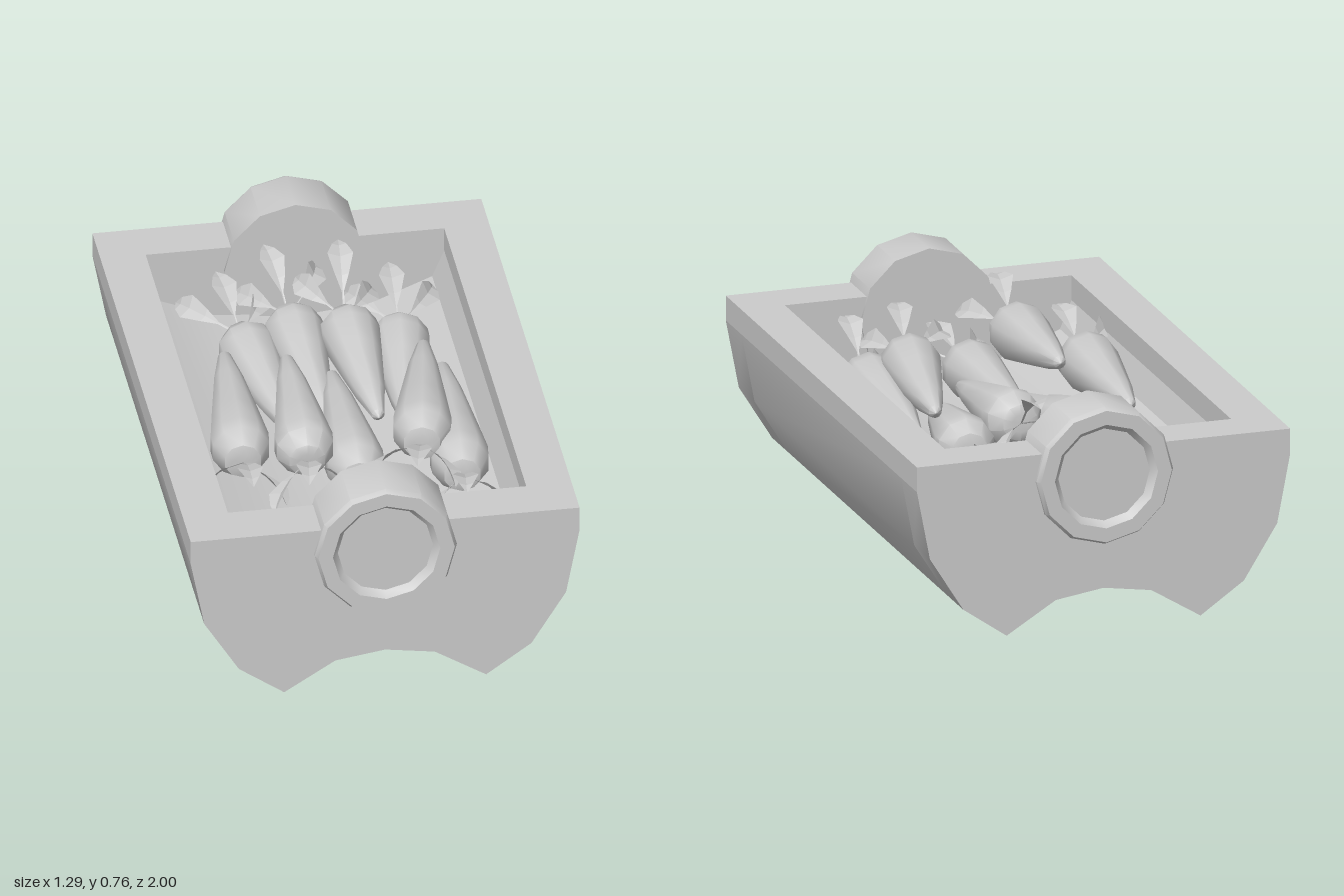
import * as THREE from 'three';
import { toCreasedNormals } from 'three/addons/utils/BufferGeometryUtils.js';

const grey = new THREE.MeshStandardMaterial({ color: 0xcccccc });
const thin = new THREE.MeshStandardMaterial({ color: 0xcccccc, side: THREE.DoubleSide, flatShading: true });

function part(parent, name, geometry, material = grey) {
  const mesh = new THREE.Mesh(geometry, material);
  mesh.name = name;
  parent.add(mesh);
  return mesh;
}

const polygon = (points) => new THREE.Shape(points.map(([x, y]) => new THREE.Vector2(x, y)));
const mirrored = (points) => points.map(([x, y]) => [-x, y]).reverse();

// Extrudes a cross-section between two z positions
function extrude(shape, z0, z1) {
  const g = new THREE.ExtrudeGeometry(shape, { depth: z1 - z0, bevelEnabled: false });
  g.translate(0, 0, z0);
  return toCreasedNormals(g, 0.6);
}

const L = 0.97;    // half length of the trough
const IN = 0.81;   // half length of the cavity

function buildTrough(root) {
  const trough = new THREE.Group();
  trough.name = 'trough';
  root.add(trough);

  // Base with an arched underside
  const under = [[-0.485, 0.105], [-0.335, 0], [-0.165, 0.105]];
  const over = [[0.485, 0.105], [0.28, 0.225]];
  part(trough, 'base', extrude(polygon([
    ...under, [0, 0.13], ...mirrored(under), over[1], [0, 0.285], ...mirrored(over).slice(0, 1),
  ]), -L, L));

  // Rounded tub sides and floor
  const side = [[0.485, 0.105], [0.6, 0.29], [0.645, 0.525]];
  const bottom = [[-0.485, 0.105], [-0.28, 0.225], [0, 0.285], [0.28, 0.225]];
  const cavity = [[0.495, 0.525], [0.455, 0.43], [0.27, 0.355]];
  part(trough, 'tub', extrude(polygon([
    ...bottom, ...side, ...cavity, [0, 0.33], ...mirrored(cavity), ...mirrored(side).slice(0, 2),
  ]), -IN, IN));

  // Solid end walls
  const end = polygon([...bottom, ...side, ...mirrored(side).slice(0, 2)]);
  part(trough, 'backWall', extrude(end, -L, -IN));
  part(trough, 'frontWall', extrude(end, IN, L));

  // Flat rim around the opening
  const rect = (w, d) => [[-w, -d], [w, -d], [w, d], [-w, d]];
  const rim = polygon(rect(0.645, L));
  rim.holes.push(polygon(rect(0.495, IN)));
  const rimGeometry = new THREE.ExtrudeGeometry(rim, { depth: 0.085, bevelEnabled: false });
  rimGeometry.rotateX(-Math.PI / 2).translate(0, 0.525, 0);
  part(trough, 'rim', rimGeometry);
}

// Twelve-sided round boss with a recessed face, one at each end
function buildBosses(root) {
  const outer = [[0, 0.8], [0.236, 0.8], [0.236, 0.982], [0.226, 1], [0.178, 1]];
  const recess = [[0.178, 1], [0.158, 0.975], [0, 0.975]];
  const lathe = (pts) => {
    const g = new THREE.LatheGeometry(pts.map(([x, y]) => new THREE.Vector2(x, y)), 12);
    return toCreasedNormals(g.rotateX(Math.PI / 2), 0.6);
  };
  for (const [name, turn] of [['frontBoss', 0], ['backBoss', Math.PI]]) {
    const boss = new THREE.Group();
    boss.name = name;
    boss.position.y = 0.521;
    boss.rotation.y = turn;
    part(boss, 'ring', lathe(outer));
    part(boss, 'recessedFace', lathe(recess));
    root.add(boss);
  }
}

// Curved stem widening into a pointed, slightly folded blade; grows along y, lifts along z
function leafGeometry(length, lift, width) {
  const rows = [[0, 0.07], [0.25, 0.09], [0.42, 0.55], [0.66, 1], [0.85, 0.55], [1, 0]];
  const position = [], index = [];
  rows.forEach(([t, w], i) => {
    const y = length * t, z = lift * Math.sin(t * 1.9), half = w * width / 2;
    position.push(-half, y, z + half * 0.35, 0, y, z, half, y, z + half * 0.35);
    if (i === 0) return;
    for (const k of [0, 1]) {
      const a = (i - 1) * 3 + k, b = a + 3;
      index.push(a, a + 1, b + 1, a, b + 1, b);
    }
  });
  const g = new THREE.BufferGeometry();
  g.setAttribute('position', new THREE.Float32BufferAttribute(position, 3));
  g.setIndex(index);
  g.computeVertexNormals();
  return g;
}

// Tapered root with a tuft of leaves, placed from its head to its tip
function buildCarrot(root, head, tip, i) {
  const carrot = new THREE.Group();
  carrot.name = 'carrot' + (i + 1);
  const a = new THREE.Vector3(...head), b = new THREE.Vector3(...tip);
  const len = a.distanceTo(b);
  const dir = a.clone().sub(b).normalize();
  const right = dir.clone().cross(new THREE.Vector3(0, 1, 0)).normalize();
  const up = right.clone().cross(dir);
  carrot.quaternion.setFromRotationMatrix(new THREE.Matrix4().makeBasis(right, dir, up));
  carrot.position.copy(a);

  const profile = [[0, -1], [0.022, -0.965], [0.05, -0.75], [0.082, -0.4], [0.1, -0.19],
    [0.097, -0.11], [0.062, -0.015], [0.03, 0], [0, -0.01]];
  const body = new THREE.LatheGeometry(profile.map(([r, t]) => new THREE.Vector2(r, t * len)), 10);
  part(carrot, 'root', toCreasedNormals(body, 0.75));

  for (const k of [-1, 0, 1]) {
    const long = 0.28 - Math.abs(k) * 0.03;
    const leaf = part(carrot, 'leaf', leafGeometry(long, 0.07 + 0.025 * ((i + k + 3) % 3), 0.085), thin);
    leaf.rotation.set(0, k * 0.8, -k * 0.42 + 0.12 * Math.sin(i * 2.3));
  }
  root.add(carrot);
}

export function createModel() {
  const model = new THREE.Group();
  model.name = 'carrotTrough';
  buildTrough(model);
  buildBosses(model);

  // Head and tip of each carrot
  const carrots = [
    [[-0.235, 0.47, -0.49], [-0.16, 0.44, 0.08]],
    [[-0.07, 0.51, -0.52], [-0.04, 0.46, 0.07]],
    [[0.1, 0.54, -0.43], [0.12, 0.5, 0.14]],
    [[0.285, 0.47, -0.46], [0.22, 0.45, 0.12]],
    [[-0.365, 0.5, 0.34], [-0.32, 0.52, -0.31]],
    [[-0.175, 0.57, 0.48], [-0.15, 0.62, -0.1]],
    [[0, 0.47, 0.46], [0.01, 0.5, -0.17]],
    [[0.22, 0.54, 0.39], [0.33, 0.54, -0.24]],
    [[0.34, 0.46, 0.48], [0.385, 0.47, -0.21]],
  ];
  carrots.forEach(([head, tip], i) => buildCarrot(model, head, tip, i));
  return model;
}
